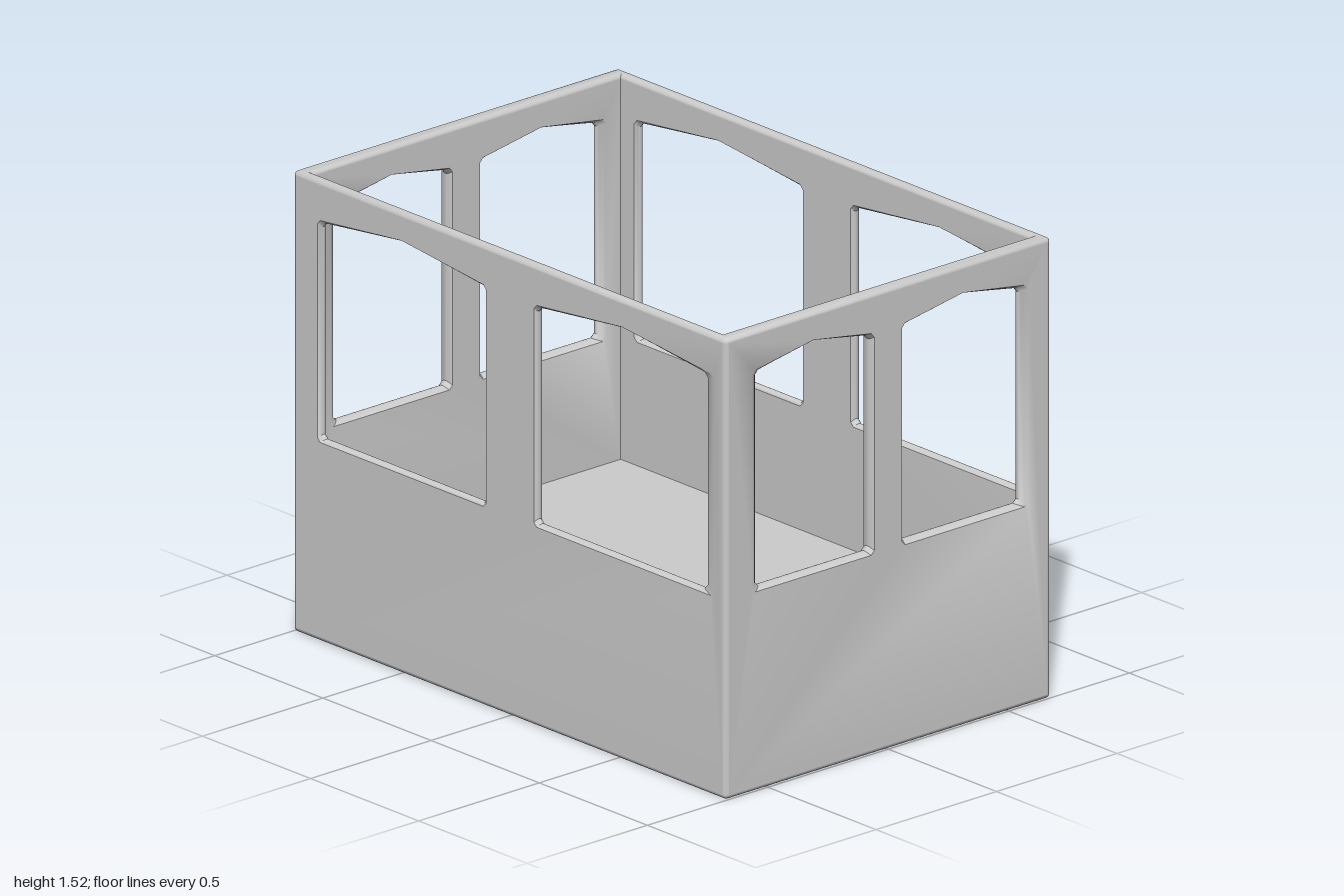
import * as THREE from 'three';
import { mergeGeometries, toCreasedNormals } from 'three/addons/utils/BufferGeometryUtils.js';

const HX = 0.675, HZ = 1, H = 1.52;   // half width, half depth, height
const TX = 0.035, TZ = 0.05;          // side and end wall thickness
const B = 0.014, FLOOR = 0.25;        // edge rounding, raised floor level

// rounded rectangle loop at height y, four points per corner
function ring(hx, hz, r, y) {
  const pts = [];
  for (let k = 0; k < 4; k++) {
    const sx = k === 0 || k === 3 ? 1 : -1, sz = k < 2 ? 1 : -1;
    for (let i = 0; i < 4; i++) {
      const a = (k + i / 3) * Math.PI / 2;
      pts.push([sx * (hx - r) + r * Math.cos(a), y, sz * (hz - r) + r * Math.sin(a)]);
    }
  }
  return pts;
}

// skin between successive closed loops
function skin(rings, cornersOnly = false) {
  const n = rings[0].length, index = [];
  for (let k = 0; k < rings.length - 1; k++) {
    for (let j = 0; j < n; j++) {
      if (cornersOnly && j % 4 === 3) continue;
      const a = k * n + j, b = k * n + (j + 1) % n;
      index.push(a, a + n, b, b, a + n, b + n);
    }
  }
  const g = new THREE.BufferGeometry();
  g.setAttribute('position', new THREE.Float32BufferAttribute(rings.flat(2), 3));
  g.setIndex(index);
  return g;
}

// window outline with a shallow pointed head and clipped corners
function outline(a, b, peakX, grow) {
  const c = 0.013, y0 = 0.667 - grow, y1 = 1.377 + grow, top = 1.422 + grow * 0.6;
  return [[a + c, y0], [b - c, y0], [b, y0 + c], [b, y1 - c], [b - c, y1 + 0.002],
    [peakX, top], [a + c, y1 + 0.002], [a, y1 - c], [a, y0 + c]];
}

// flat face with window holes
function face(half, y0, y1, holes, z, flip) {
  const shape = new THREE.Shape([[-half, y0], [half, y0], [half, y1], [-half, y1]]
    .map(p => new THREE.Vector2(...p)));
  for (const h of holes) shape.holes.push(new THREE.Path(h.map(p => new THREE.Vector2(...p))));
  const g = new THREE.ShapeGeometry(shape).translate(0, 0, z);
  g.deleteAttribute('uv');
  g.deleteAttribute('normal');
  if (flip) g.index.array.reverse();
  return g;
}

// wall in its own frame: outer face at z = 0, thickness towards -z
function wall(half, innerHalf, t, windows) {
  const wide = windows.map(w => outline(w.out[0], w.out[1], w.peak, 0.01));
  const parts = [
    face(half - B, B, H - B, wide, 0, false),
    face(innerHalf, FLOOR, H - B, wide, -t, true),
  ];
  // rounded reveals, narrowest in the middle of the wall
  windows.forEach((w, i) => {
    const narrow = outline(w.inn[0], w.inn[1], w.peak, 0);
    const loops = [];
    for (let s = 0; s <= 8; s++) {
      const k = Math.sin(Math.PI * s / 8);
      loops.push(narrow.map((p, j) => [
        THREE.MathUtils.lerp(wide[i][j][0], p[0], k),
        THREE.MathUtils.lerp(wide[i][j][1], p[1], k),
        -t + t * s / 8]));
    }
    parts.push(skin(loops));
  });
  return mergeGeometries(parts);
}

const mirror = w => ({
  out: [-w.out[1], -w.out[0]], inn: [-w.inn[1], -w.inn[0]], peak: -w.peak,
});

export function createModel() {
  const group = new THREE.Group();
  const material = new THREE.MeshStandardMaterial({ color: 0xcccccc });
  const add = (name, geometry) => {
    const mesh = new THREE.Mesh(toCreasedNormals(geometry, 0.6), material);
    mesh.name = name;
    group.add(mesh);
    return mesh;
  };

  // windows along x (end walls) and along z (side walls)
  const endWindows = [
    { out: [-0.565, -0.058], inn: [-0.535, -0.065], peak: -0.31 },
    { out: [0.056, 0.58], inn: [0.063, 0.555], peak: 0.31 },
  ];
  const sideWindows = [
    { out: [-0.888, -0.108], inn: [-0.876, -0.115], peak: -0.5 },
    { out: [0.113, 0.943], inn: [0.12, 0.9], peak: 0.52 },
  ];
  const IX = HX - TX, IZ = HZ - TZ;

  // four walls
  add('frontWall', wall(HX, IX, TZ, endWindows)).position.z = HZ;
  const back = add('backWall', wall(HX, IX, TZ, endWindows.map(mirror)));
  back.rotation.y = Math.PI;
  back.position.z = -HZ;
  const left = add('leftWall', wall(HZ, IZ, TX, sideWindows.map(mirror)));
  left.rotation.y = Math.PI / 2;
  left.position.x = HX;
  const right = add('rightWall', wall(HZ, IZ, TX, sideWindows));
  right.rotation.y = -Math.PI / 2;
  right.position.x = -HX;

  // rounded vertical corners
  add('cornerEdges', skin([ring(HX, HZ, B, B), ring(HX, HZ, B, H - B)], true));

  // underside with rounded lower edge
  const base = [ring(0, 0, 0, 0)];
  for (let i = 0; i <= 4; i++) {
    const a = i / 4 * Math.PI / 2, inset = B * (1 - Math.sin(a));
    base.push(ring(HX - inset, HZ - inset, B - inset, B * (1 - Math.cos(a))));
  }
  add('underside', skin(base));

  // rounded top rim, from the outer face over to the inner face
  const rim = [];
  for (let i = 0; i <= 4; i++) {
    const a = i / 4 * Math.PI / 2, inset = B * (1 - Math.cos(a));
    rim.push(ring(HX - inset, HZ - inset, B - inset, H - B + B * Math.sin(a)));
  }
  for (let i = 4; i >= 0; i--) {
    const a = i / 4 * Math.PI / 2, out = B * (1 - Math.cos(a));
    rim.push(ring(IX + out, IZ + out, 0, H - B + B * Math.sin(a)));
  }
  add('topRim', skin(rim));

  // raised floor
  add('floor', skin([ring(IX, IZ, 0, FLOOR), ring(0, 0, 0, FLOOR)]));

  return group;
}
